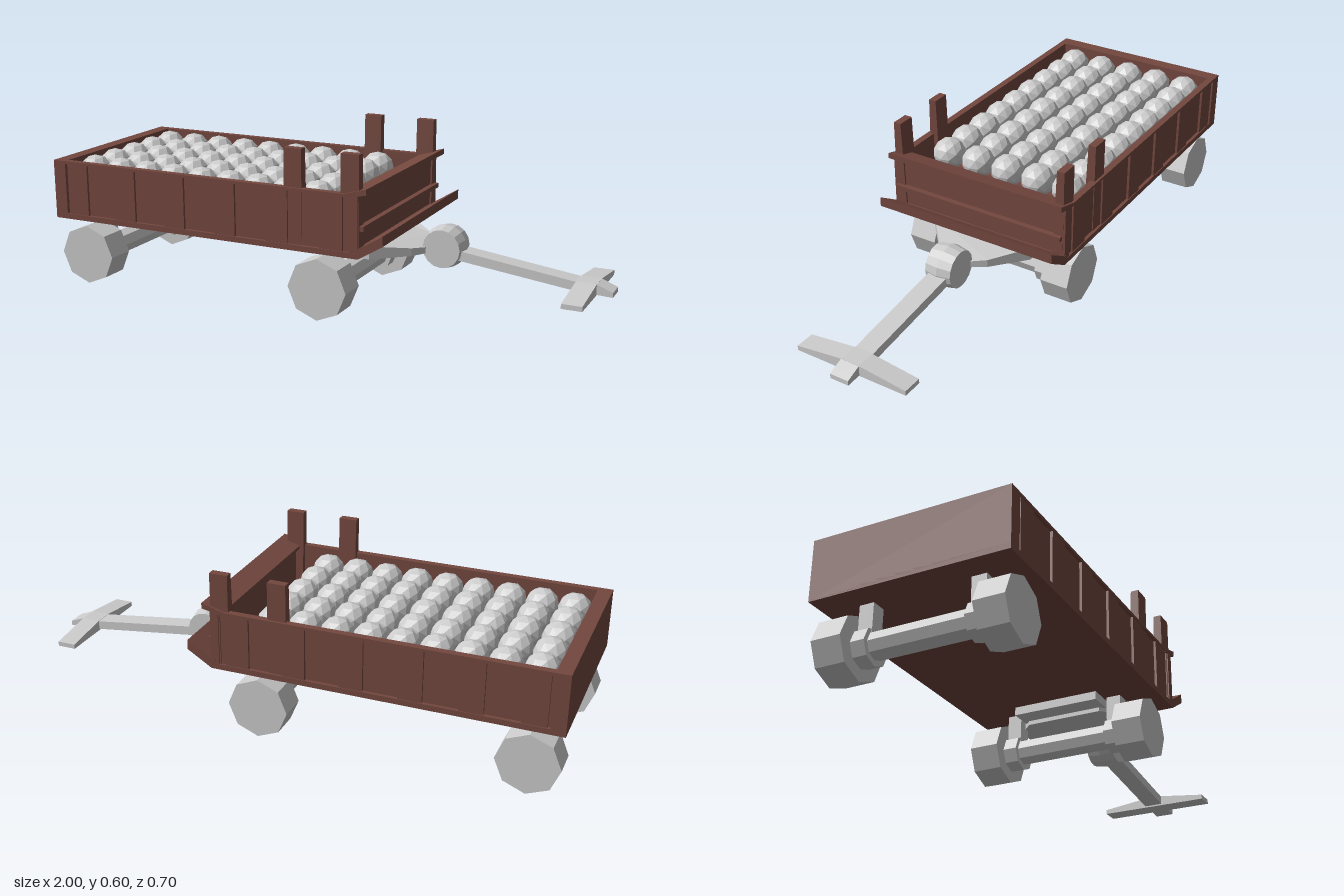
import * as THREE from 'three';

const wood = new THREE.MeshStandardMaterial({ color: 0x74483f, flatShading: true });
const metal = new THREE.MeshStandardMaterial({ color: 0xcccccc, flatShading: true });

function add(parent, name, geometry, material) {
  const mesh = new THREE.Mesh(geometry, material);
  mesh.name = name;
  parent.add(mesh);
  return mesh;
}

// Box given by its limits on each axis
function box(parent, name, material, [x0, x1], [y0, y1], [z0, z1]) {
  const mesh = add(parent, name, new THREE.BoxGeometry(x1 - x0, y1 - y0, z1 - z0), material);
  mesh.position.set((x0 + x1) / 2, (y0 + y1) / 2, (z0 + z1) / 2);
  return mesh;
}

// Outline in x and y, extruded evenly to both sides of z = 0
function profile(parent, name, material, points, width) {
  const shape = new THREE.Shape(points.map(([x, y]) => new THREE.Vector2(x, y)));
  const geometry = new THREE.ExtrudeGeometry(shape, { depth: width, bevelEnabled: false });
  return add(parent, name, geometry.translate(0, 0, -width / 2), material);
}

// Eight-sided drum along z, with a corner pointing down
function drum(parent, name, x, y, z, radius, width) {
  const geometry = new THREE.CylinderGeometry(radius, radius, width, 8).rotateX(Math.PI / 2);
  const mesh = add(parent, name, geometry, metal);
  mesh.position.set(x, y, z);
  return mesh;
}

function buildBed() {
  const bed = new THREE.Group();
  bed.name = 'wagonBed';
  box(bed, 'floor', wood, [-1, 0.225], [0.245, 0.265], [-0.35, 0.35]);
  box(bed, 'rearWall', wood, [-1, -0.95], [0.245, 0.462], [-0.35, 0.35]);
  box(bed, 'frontWall', wood, [0.19, 0.22], [0.25, 0.465], [-0.345, 0.345]);
  box(bed, 'frontRail', wood, [0.21, 0.24], [0.338, 0.355], [-0.337, 0.337]);

  for (const s of [-1, 1]) {
    const span = (a, b) => (s > 0 ? [a, b] : [-b, -a]);
    box(bed, 'sidePanel', wood, [-0.97, 0.22], [0.25, 0.455], span(0.325, 0.338));
    box(bed, 'topRim', wood, [-1, 0.225], [0.452, 0.462], span(0.325, 0.35));
    box(bed, 'cornerPost', wood, [0.195, 0.225], [0.25, 0.455], span(0.325, 0.349));
    // Vertical battens along the side
    for (let i = 0; i < 6; i++) {
      const x = -0.94 + i * 0.205;
      box(bed, 'batten', wood, [x, x + 0.083], [0.255, 0.453], span(0.336, 0.347));
    }
    // Tall stakes, thicker toward the bottom on their inner face
    for (const x of [-0.018, 0.193]) {
      const geometry = new THREE.BoxGeometry(0.066, 0.335, 0.028);
      const p = geometry.attributes.position;
      for (let i = 0; i < p.count; i++) {
        if (p.getY(i) < 0 && p.getZ(i) < 0) p.setZ(i, p.getZ(i) - 0.012);
      }
      if (s < 0) geometry.rotateY(Math.PI);
      geometry.computeVertexNormals();
      add(bed, 'stake', geometry, wood).position.set(x, 0.428, s * 0.327);
    }
  }

  // Sloping footboard and lip on the towing end
  profile(bed, 'footboard', wood, [[0.21, 0.245], [0.225, 0.245], [0.315, 0.3], [0.315, 0.335], [0.225, 0.28], [0.21, 0.28]], 0.7);
  profile(bed, 'topLip', wood, [[0.175, 0.45], [0.22, 0.458], [0.255, 0.465], [0.255, 0.485], [0.175, 0.463]], 0.7);
  return bed;
}

function buildLoad() {
  const load = new THREE.Group();
  load.name = 'ballLoad';
  const ball = new THREE.IcosahedronGeometry(0.06, 1);
  for (let i = 0; i < 9; i++) {
    for (let j = 0; j < 5; j++) {
      const mesh = add(load, 'ball', ball, metal);
      mesh.position.set(-0.89 + i * 0.115, 0.412, -0.25 + j * 0.124);
    }
  }
  return load;
}

// Axle with collars, hangers and a pair of wheels
function buildAxle(name, x) {
  const axle = new THREE.Group();
  axle.name = name;
  drum(axle, 'axle', x, 0.105, 0, 0.046, 0.46);
  for (const s of [-1, 1]) {
    drum(axle, 'wheel', x, 0.11, s * 0.278, 0.11, 0.106);
    drum(axle, 'collar', x, 0.103, s * 0.197, 0.063, 0.05);
    box(axle, 'hanger', metal, [x - 0.026, x + 0.026], [0.12, 0.25], [s * 0.197 - 0.026, s * 0.197 + 0.026]);
  }
  return axle;
}

function buildTowing() {
  const tow = new THREE.Group();
  tow.name = 'towingGear';
  box(tow, 'pivotPlate', metal, [-0.03, 0.15], [0.215, 0.285], [-0.16, 0.16]);

  // Drawbar plate narrowing toward the hub and thinning at its tip
  const half = [[0.04, 0.14], [0.1, 0.2], [0.2, 0.2], [0.315, 0.1], [0.35, 0.045]];
  const outline = [...half, ...half.map(([x, z]) => [x, -z]).reverse()];
  const shape = new THREE.Shape(outline.map(([x, z]) => new THREE.Vector2(x, z)));
  const plate = new THREE.ExtrudeGeometry(shape, { depth: 0.046, bevelEnabled: false }).rotateX(-Math.PI / 2).translate(0, 0.2, 0);
  const p = plate.attributes.position;
  for (let i = 0; i < p.count; i++) {
    if (p.getX(i) > 0.25 && p.getY(i) > 0.22) p.setY(i, 0.246 - (p.getX(i) - 0.2) * 0.16);
  }
  plate.computeVertexNormals();
  add(tow, 'drawbarPlate', plate, metal);

  // Hub with a slightly crowned rim
  const rim = [[0, -0.05], [0.068, -0.05], [0.077, 0], [0.068, 0.05], [0, 0.05]];
  const hub = new THREE.LatheGeometry(rim.map(([r, y]) => new THREE.Vector2(r, y)), 16).rotateX(Math.PI / 2);
  add(tow, 'hub', hub, metal).position.set(0.403, 0.222, 0);

  profile(tow, 'handle', metal, [[0.42, 0.19], [0.87, 0.136], [1, 0.13], [1, 0.147], [0.945, 0.168], [0.87, 0.168], [0.42, 0.225]], 0.07);

  // Grip bar, deepest in the middle
  const grip = new THREE.Shape();
  [[-0.212, 0.13], [0.212, 0.13], [0.212, 0.147], [0.035, 0.169], [-0.035, 0.169], [-0.212, 0.147]]
    .forEach(([z, y], i) => (i ? grip.lineTo(z, y) : grip.moveTo(z, y)));
  const bar = new THREE.ExtrudeGeometry(grip, { depth: 0.07, bevelEnabled: false });
  add(tow, 'gripBar', bar.rotateY(Math.PI / 2), metal).position.x = 0.875;
  return tow;
}

export function createModel() {
  const model = new THREE.Group();
  model.name = 'wagon';
  model.add(buildBed(), buildLoad(), buildAxle('rearAxle', -0.885), buildAxle('frontAxle', 0.063), buildTowing());
  return model;
}
